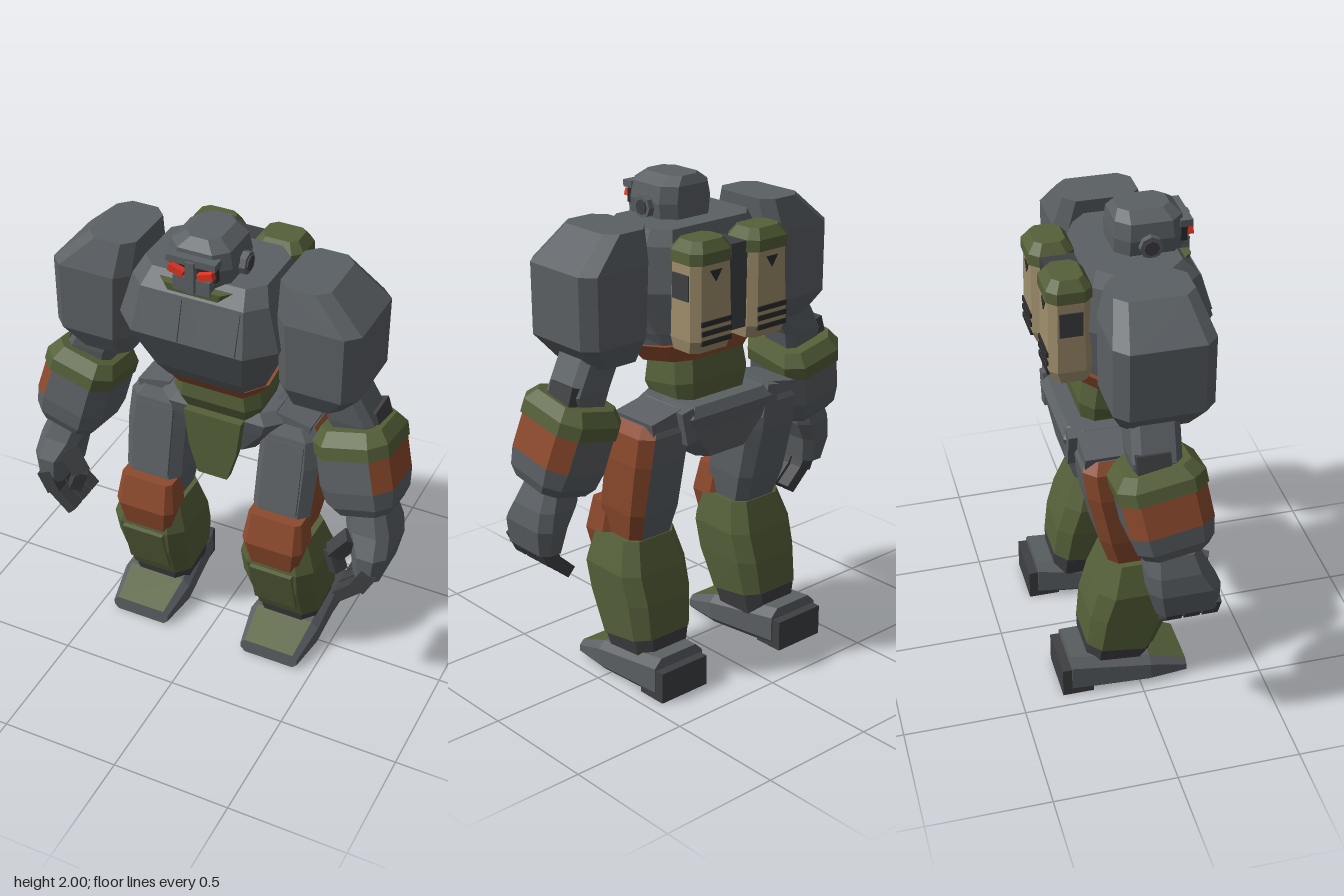
import * as THREE from 'three';

const mat = (name, color) => { const m = new THREE.MeshStandardMaterial({ color }); m.name = name; return m; };

export function createModel() {
  const gray = mat('steel gray', 0x5b6064), dark = mat('dark gray', 0x3f4043), black = mat('vent black', 0x2c2c2e);
  const green = mat('olive green', 0x556039), rust = mat('rust orange', 0x8c4a2d);
  const tan = mat('tan', 0x9f8e6c), red = mat('eye red', 0xe03422);
  const root = new THREE.Group();
  root.name = 'robot';

  // Stack of chamfered rectangles, bottom to top: [y, cx, cz, halfWidth, halfDepth, chamfer, tilt]
  // Sides: 0 = +x, 2 = front, 4 = -x, 6 = back, odd = chamfers; paint maps a side to a material
  function loft(parent, name, material, sections, paint = {}) {
    const rings = sections.map(([y, cx, cz, w, d, c, tilt = 0]) =>
      [[w, c - d], [w, d - c], [w - c, d], [c - w, d], [-w, d - c], [-w, c - d], [c - w, -d], [w - c, -d]]
        .map(([x, z]) => [cx + x, y + tilt * z, cz + z]));
    const buckets = new Map([[material, []]]);
    const add = (m, ...pts) => { if (!buckets.has(m)) buckets.set(m, []); buckets.get(m).push(...pts.flat()); };
    for (let s = 0; s < rings.length - 1; s++) {
      for (let i = 0; i < 8; i++) {
        const j = (i + 1) % 8, lo = rings[s], up = rings[s + 1];
        add(paint[i] || material, lo[i], up[i], up[j], lo[i], up[j], lo[j]);
      }
    }
    const bottom = rings[0], top = rings[rings.length - 1];
    for (let i = 1; i < 7; i++) {
      add(material, bottom[0], bottom[i], bottom[i + 1]);
      add(material, top[0], top[i + 1], top[i]);
    }
    const geo = new THREE.BufferGeometry(), all = [], mats = [...buckets.keys()];
    mats.forEach((m, k) => {
      const p = buckets.get(m);
      geo.addGroup(all.length / 3, p.length / 3, k);
      for (const v of p) all.push(v);
    });
    geo.setAttribute('position', new THREE.Float32BufferAttribute(all, 3));
    geo.computeVertexNormals();
    if (mats.length === 1) geo.clearGroups();
    return put(parent, name, geo, mats.length === 1 ? material : mats);
  }
  function put(parent, name, geo, material) {
    const mesh = new THREE.Mesh(geo, material);
    mesh.name = name;
    parent.add(mesh);
    return mesh;
  }
  function box(parent, name, material, size, pos, rot = [0, 0, 0]) {
    const m = put(parent, name, new THREE.BoxGeometry(...size), material);
    m.position.set(...pos);
    m.rotation.set(...rot);
    return m;
  }
  // Box running from point a to point b
  function bar(parent, name, material, a, b, w, d) {
    const A = new THREE.Vector3(...a), dir = new THREE.Vector3(...b).sub(A);
    const m = box(parent, name, material, [w, dir.length(), d], A.clone().addScaledVector(dir, 0.5).toArray());
    m.quaternion.setFromUnitVectors(new THREE.Vector3(0, 1, 0), dir.normalize());
  }
  // Flat polygon of small thickness facing +z
  function plate(parent, name, material, pts, depth, pos) {
    const shape = new THREE.Shape(pts.map(p => new THREE.Vector2(...p)));
    const m = put(parent, name, new THREE.ExtrudeGeometry(shape, { depth, bevelEnabled: false }), material);
    m.position.set(...pos);
    return m;
  }
  // Baked mirror image across x, with corner order restored
  function mirrored(group, name) {
    const out = new THREE.Group(), flip = new THREE.Matrix4().makeScale(-1, 1, 1);
    out.name = name;
    group.updateMatrixWorld(true);
    group.traverse(o => {
      if (!o.isMesh) return;
      const geo = o.geometry.index ? o.geometry.toNonIndexed() : o.geometry.clone();
      geo.applyMatrix4(flip.clone().multiply(o.matrixWorld));
      const p = geo.attributes.position, a = new THREE.Vector3(), b = new THREE.Vector3();
      for (let i = 0; i < p.count; i += 3) {
        a.fromBufferAttribute(p, i + 1);
        b.fromBufferAttribute(p, i + 2);
        p.setXYZ(i + 1, b.x, b.y, b.z);
        p.setXYZ(i + 2, a.x, a.y, a.z);
      }
      geo.computeVertexNormals();
      put(out, o.name, geo, o.material);
    });
    return out;
  }
  const side = name => { const g = new THREE.Group(); g.name = name; return g; };

  // Torso
  loft(root, 'chest', gray, [[1.365, 0, 0, 0.225, 0.17, 0.07, -0.2], [1.42, 0, 0.03, 0.25, 0.19, 0.07, -0.1],
    [1.605, 0, 0.085, 0.33, 0.24, 0.1], [1.78, 0, 0.07, 0.28, 0.205, 0.07], [1.84, 0, 0.05, 0.25, 0.165, 0.06]]);
  loft(root, 'waistBand', rust, [[1.295, 0, -0.02, 0.185, 0.14, 0.05, -0.2], [1.365, 0, -0.015, 0.235, 0.175, 0.07, -0.2]]);
  loft(root, 'waist', green, [[1.1, 0, -0.05, 0.16, 0.11, 0.04], [1.21, 0, -0.035, 0.19, 0.14, 0.05, -0.15],
    [1.30, 0, -0.03, 0.18, 0.13, 0.05, -0.2]]);
  for (const s of [-1, 1])
    box(root, 'chestPlate', gray, [0.165, 0.165, 0.014], [s * 0.118, 1.69, 0.302], [-0.297, 0, 0]);

  // Pelvis and front apron
  loft(root, 'pelvis', gray, [[0.93, 0, -0.1, 0.13, 0.12, 0.04], [1.06, 0, -0.09, 0.24, 0.15, 0.05],
    [1.12, 0, -0.09, 0.27, 0.165, 0.06], [1.16, 0, -0.09, 0.23, 0.14, 0.05]]);
  plate(root, 'apron', green, [[-0.065, 0.83], [0.065, 0.83], [0.105, 0.965], [0.125, 1.125], [-0.125, 1.125], [-0.105, 0.965]],
    0.04, [0, 0, 0.07]);

  // Head
  loft(root, 'collar', green, [[1.76, 0, 0.15, 0.13, 0.115, 0.04], [1.82, 0, 0.15, 0.165, 0.12, 0.05]]);
  loft(root, 'head', gray, [[1.79, 0, 0.11, 0.09, 0.12, 0.04], [1.84, 0, 0.115, 0.125, 0.135, 0.05],
    [1.90, 0, 0.115, 0.132, 0.135, 0.05], [1.965, 0, 0.115, 0.12, 0.13, 0.05], [2.0, 0, 0.105, 0.07, 0.1, 0.035]]);
  box(root, 'faceMask', gray, [0.15, 0.06, 0.06], [0, 1.835, 0.245]);
  box(root, 'brow', gray, [0.2, 0.028, 0.05], [0, 1.935, 0.255]);
  box(root, 'eyeRecess', black, [0.19, 0.06, 0.03], [0, 1.892, 0.245]);
  box(root, 'noseBar', gray, [0.035, 0.13, 0.05], [0, 1.875, 0.265]);
  for (const s of [-1, 1]) {
    box(root, 'eye', red, [0.062, 0.028, 0.03], [s * 0.06, 1.89, 0.27], [0, 0, s * 0.3]);
    for (const [r, x, m] of [[0.045, 0.14, gray], [0.03, 0.146, dark]]) {
      const ear = put(root, 'ear', new THREE.CylinderGeometry(r, r, 0.03, 8).toNonIndexed(), m);
      ear.geometry.computeVertexNormals();
      ear.position.set(s * x, 1.88, 0.105);
      ear.rotation.set(0, 0, Math.PI / 2);
    }
  }

  // Backpack
  box(root, 'packSpine', dark, [0.09, 0.34, 0.13], [0, 1.62, -0.21]);
  const pod = side('leftPod');
  loft(pod, 'podBody', tan, [[1.4, 0.145, -0.22, 0.095, 0.07, 0.025], [1.45, 0.145, -0.225, 0.105, 0.085, 0.03],
    [1.75, 0.145, -0.225, 0.1, 0.08, 0.03]]);
  loft(pod, 'podCap', green, [[1.745, 0.145, -0.225, 0.107, 0.088, 0.035], [1.79, 0.145, -0.225, 0.105, 0.088, 0.035],
    [1.83, 0.145, -0.225, 0.075, 0.06, 0.025]]);
  for (let i = 0; i < 3; i++) box(pod, 'vent', black, [0.15, 0.02, 0.02], [0.145, 1.445 + i * 0.037, -0.305]);
  box(pod, 'sidePanel', dark, [0.02, 0.1, 0.09], [0.242, 1.655, -0.225]);
  plate(pod, 'arrowMark', black, [[-0.03, 0.02], [0, -0.025], [0.03, 0.02]], 0.006, [0.145, 1.7, -0.303]).rotation.y = Math.PI;
  root.add(pod, mirrored(pod, 'rightPod'));

  // Arm
  const arm = side('leftArm');
  loft(arm, 'shoulder', gray, [[1.36, 0.445, 0.035, 0.11, 0.145, 0.04], [1.457, 0.475, 0.037, 0.16, 0.193, 0.05],
    [1.74, 0.47, 0.037, 0.167, 0.193, 0.05], [1.87, 0.395, 0.033, 0.1, 0.153, 0.045]]);
  loft(arm, 'upperArm', gray, [[1.18, 0.57, 0, 0.08, 0.08, 0.025], [1.27, 0.565, 0, 0.1, 0.095, 0.03],
    [1.42, 0.485, 0.01, 0.1, 0.095, 0.03]]);
  box(arm, 'elbowGuard', dark, [0.05, 0.1, 0.13], [0.65, 1.26, -0.02], [0, 0, 0.3]);
  const forearm = side('forearm');
  forearm.position.set(0.575, 1.235, 0.0);
  forearm.rotation.set(-0.17, 0, 0.24);
  arm.add(forearm);
  loft(forearm, 'cuff', green, [[-0.105, 0, 0, 0.155, 0.172, 0.06], [-0.05, 0, 0, 0.155, 0.172, 0.06], [0, 0, 0, 0.125, 0.13, 0.045]]);
  loft(forearm, 'forearmBand', gray, [[-0.245, 0, 0, 0.152, 0.165, 0.06], [-0.105, 0, 0, 0.15, 0.165, 0.06]], { 0: rust, 1: rust, 7: rust });
  loft(forearm, 'forearmEnd', gray, [[-0.36, 0, 0, 0.115, 0.125, 0.045], [-0.32, 0, 0, 0.138, 0.15, 0.05], [-0.245, 0, 0, 0.152, 0.165, 0.06]]);
  loft(arm, 'hand', gray, [[0.63, 0.715, 0.1, 0.055, 0.125, 0.03], [0.74, 0.715, 0.085, 0.075, 0.14, 0.04],
    [0.82, 0.69, 0.06, 0.09, 0.12, 0.04], [0.9, 0.665, 0.05, 0.085, 0.1, 0.035]]);
  for (let i = 0; i < 3; i++) {
    const z = 0.05 + i * 0.073;
    bar(arm, 'finger', dark, [0.735, 0.67, z], [0.69, 0.58, z], 0.065, 0.064);
    bar(arm, 'fingertip', dark, [0.695, 0.59, z], [0.605, 0.505, z], 0.05, 0.06);
  }
  bar(arm, 'thumb', dark, [0.64, 0.79, 0.17], [0.57, 0.70, 0.19], 0.065, 0.065);
  bar(arm, 'thumbTip', dark, [0.565, 0.72, 0.19], [0.6, 0.63, 0.2], 0.05, 0.058);
  root.add(arm, mirrored(arm, 'rightArm'));

  // Leg
  const leg = side('leftLeg');
  box(leg, 'hipGuard', gray, [0.15, 0.09, 0.22], [0.3, 1.1, -0.1], [0, 0, -0.2]);
  box(leg, 'hipFlank', gray, [0.06, 0.14, 0.17], [0.215, 1.09, -0.16], [0, 0, -0.2]);
  loft(leg, 'thigh', gray, [[0.56, 0.285, 0.0, 0.1, 0.1, 0.035], [0.73, 0.29, -0.025, 0.125, 0.13, 0.04],
    [0.95, 0.295, -0.07, 0.13, 0.135, 0.045], [1.07, 0.293, -0.09, 0.125, 0.13, 0.045], [1.115, 0.285, -0.09, 0.1, 0.11, 0.04]],
    { 0: rust, 7: rust });
  box(leg, 'thighPlate', gray, [0.165, 0.31, 0.014], [0.288, 0.9, 0.075], [-0.2, 0, 0]);
  loft(leg, 'kneeGuard', rust, [[0.475, 0.29, 0.095, 0.105, 0.065, 0.02], [0.6, 0.29, 0.105, 0.132, 0.08, 0.03],
    [0.73, 0.29, 0.085, 0.115, 0.065, 0.02]]);
  loft(leg, 'shin', green, [[0.2, 0.3, -0.075, 0.148, 0.14, 0.05, -0.15], [0.36, 0.295, -0.03, 0.16, 0.17, 0.055],
    [0.48, 0.295, 0, 0.165, 0.165, 0.055], [0.61, 0.29, 0.01, 0.13, 0.13, 0.045]]);
  box(leg, 'shinPlate', green, [0.185, 0.22, 0.02], [0.295, 0.37, 0.142], [0.28, 0, 0]);
  loft(leg, 'ankle', dark, [[0.11, 0.3, -0.09, 0.125, 0.125, 0.045, -0.15], [0.2, 0.3, -0.078, 0.142, 0.138, 0.05, -0.15]]);
  // Foot sections run from heel to toe
  const foot = side('foot');
  foot.rotation.set(Math.PI / 2, 0, 0);
  leg.add(foot);
  loft(foot, 'footBase', gray, [[-0.29, 0.32, -0.0875, 0.125, 0.0875, 0.035], [0.04, 0.305, -0.066, 0.155, 0.066, 0.03]], { 2: dark });
  loft(foot, 'toe', gray, [[0.04, 0.305, -0.066, 0.155, 0.066, 0.03], [0.2, 0.305, -0.033, 0.13, 0.033, 0.02]], { 2: dark, 6: green });
  box(leg, 'heel', dark, [0.235, 0.13, 0.13], [0.322, 0.065, -0.263]);
  root.add(leg, mirrored(leg, 'rightLeg'));

  return root;
}
